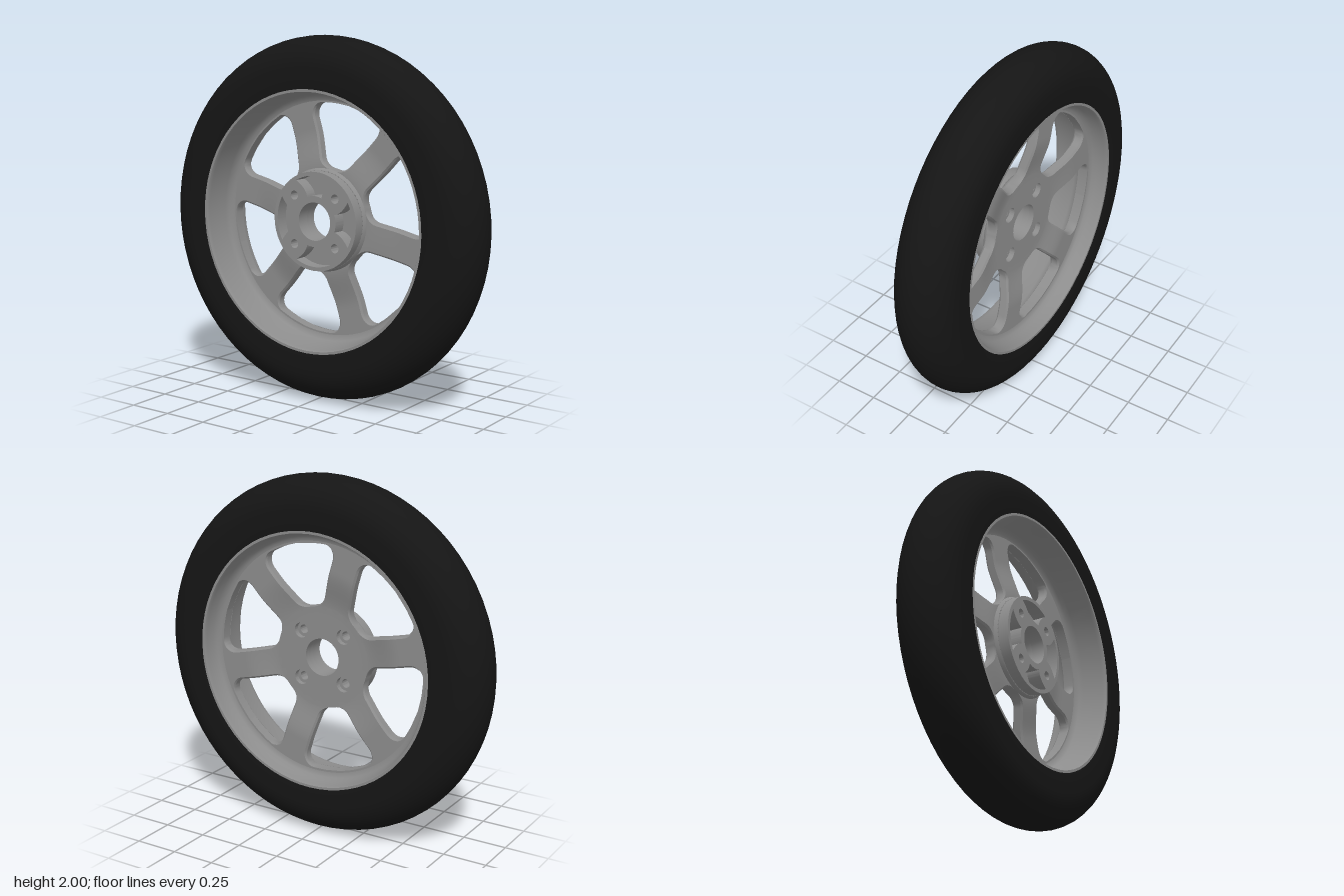
import * as THREE from 'three';
import { toCreasedNormals } from 'three/addons/utils/BufferGeometryUtils.js';

const DEG = Math.PI / 180;
const SPOKES = 6, HALF = 30 * DEG;
const WIN_IN = 0.285, WIN_OUT = 0.64, SPOKE_HALF = 0.083;

const metal = new THREE.MeshStandardMaterial({ color: 0x8c8c8c });
const rubber = new THREE.MeshStandardMaterial({ color: 0x151515 });

function addMesh(parent, name, geometry, material) {
  const mesh = new THREE.Mesh(geometry, material);
  mesh.name = name;
  parent.add(mesh);
  return mesh;
}

// Ring turned about the local z axis from [radius, z] points
function turned(points, segments) {
  return new THREE.LatheGeometry(points.map(([r, z]) => new THREE.Vector2(r, z)), segments).rotateX(Math.PI / 2);
}

// Half angle of a window at radius r, with rounded corners
function windowHalfAngle(r) {
  const loss = (d, c) => (d >= c ? 0 : c - Math.sqrt(Math.max(0, c * c - (c - d) ** 2)));
  const cut = loss(r - WIN_IN, 0.055) + loss(WIN_OUT - r, 0.085);
  return Math.max(0, HALF - Math.asin(SPOKE_HALF / r) - cut / r);
}

// Dished front and back faces of the spokes
const dish = (r) => 0.035 * THREE.MathUtils.smoothstep(r, 0.27, 0.5);
const frontZ = (r) => 0.04 + dish(r);
const backZ = (r) => -0.02 + dish(r);

// One sixth of the wheel disc: a spoke lofted along the radius
function spokeGeometry() {
  const rows = [[0.25, HALF], [WIN_IN, HALF]];
  const steps = 40;
  const hIn = windowHalfAngle(WIN_IN), hOut = windowHalfAngle(WIN_OUT);
  for (let k = 1; k <= 4; k++) rows.push([WIN_IN, HALF - hIn * k / 4]);
  for (let k = 1; k < steps; k++) {
    const t = (1 - Math.cos(Math.PI * k / steps)) / 2;
    const r = WIN_IN + (WIN_OUT - WIN_IN) * t;
    rows.push([r, HALF - windowHalfAngle(r)]);
  }
  for (let k = 4; k >= 0; k--) rows.push([WIN_OUT, HALF - hOut * k / 4]);
  rows.push([0.69, HALF]);

  const n = 8, pos = [], index = [];
  let count = 0;
  for (const [r, w] of rows) {
    const ch = w === HALF ? 0 : 0.01;
    const inner = w - ch / r, f = frontZ(r), b = backZ(r);
    const loop = [];
    for (let j = 0; j <= n; j++) loop.push([inner * (2 * j / n - 1), f]);
    loop.push([w, f - ch], [w, b + ch]);
    for (let j = n; j >= 0; j--) loop.push([inner * (2 * j / n - 1), b]);
    loop.push([-w, b + ch], [-w, f - ch]);
    count = loop.length;
    for (const [a, z] of loop) pos.push(r * Math.cos(a), r * Math.sin(a), z);
  }
  for (let i = 0; i < rows.length - 1; i++) {
    for (let j = 0; j < count; j++) {
      const a = i * count + j, d = i * count + (j + 1) % count;
      index.push(a, a + count, d + count, a, d + count, d);
    }
  }
  const g = new THREE.BufferGeometry();
  g.setAttribute('position', new THREE.Float32BufferAttribute(pos, 3));
  g.setIndex(index);
  return toCreasedNormals(g, 35 * DEG);
}

function circleHole(x, y, r) {
  return new THREE.Path().absarc(x, y, r, 0, Math.PI * 2, true);
}

// Hub layer between two depths, with bore, bolt holes and optional pockets
function hubLayer(z0, z1, boltRadius, pockets) {
  const shape = new THREE.Shape().absarc(0, 0, 0.272, 0, Math.PI * 2, false);
  shape.holes.push(circleHole(0, 0, 0.105));
  for (let k = 0; k < 4; k++) {
    const a = (45 + 90 * k) * DEG;
    shape.holes.push(circleHole(0.19 * Math.cos(a), 0.19 * Math.sin(a), boltRadius));
    if (pockets) {
      const c = 90 * k * DEG, p = new THREE.Path();
      p.absarc(0, 0, 0.25, c - 29 * DEG, c + 29 * DEG, false);
      p.quadraticCurveTo(0.185 * Math.cos(c + 17 * DEG), 0.185 * Math.sin(c + 17 * DEG),
        0.14 * Math.cos(c + 20 * DEG), 0.14 * Math.sin(c + 20 * DEG));
      p.absarc(0, 0, 0.14, c + 20 * DEG, c - 20 * DEG, true);
      p.quadraticCurveTo(0.185 * Math.cos(c - 17 * DEG), 0.185 * Math.sin(c - 17 * DEG),
        0.25 * Math.cos(c - 29 * DEG), 0.25 * Math.sin(c - 29 * DEG));
      shape.holes.push(p);
    }
  }
  const g = new THREE.ExtrudeGeometry(shape, { depth: z1 - z0, bevelEnabled: false, curveSegments: 24 });
  return toCreasedNormals(g.translate(0, 0, z0), 35 * DEG);
}

export function createModel() {
  const model = new THREE.Group();
  model.name = 'wheel';
  // Axle along x, standing on the ground
  const wheel = new THREE.Group();
  wheel.name = 'wheelAssembly';
  wheel.rotation.y = Math.PI / 2;
  wheel.position.y = 1;
  model.add(wheel);

  // Tyre: straight sidewalls and a round crown
  const tyre = [[0.712, -0.168], [0.722, -0.174], [0.77, -0.175]];
  for (let k = 0; k <= 20; k++) {
    const a = (-90 + 9 * k) * DEG;
    tyre.push([0.825 + 0.175 * Math.cos(a), 0.175 * Math.sin(a)]);
  }
  tyre.push([0.77, 0.175], [0.722, 0.174], [0.712, 0.168]);
  addMesh(wheel, 'tyre', turned(tyre, 72), rubber);

  // Rim barrel: lips, sloping walls and fillets into the disc
  const rim = [
    [0.718, -0.172], [0.718, 0.172], [0.704, 0.172], [0.7, 0.165], [0.699, 0.15],
    [0.687, 0.11], [0.676, 0.088], [0.66, 0.077], [0.645, 0.074],
    [0.645, 0.016], [0.662, 0.011], [0.678, -0.004], [0.686, -0.03],
    [0.699, -0.15], [0.7, -0.165], [0.704, -0.172], [0.718, -0.172],
  ];
  addMesh(wheel, 'rim', toCreasedNormals(turned(rim, 72), 35 * DEG), metal);

  // Spokes
  const spokes = new THREE.Group();
  spokes.name = 'spokes';
  wheel.add(spokes);
  const spoke = spokeGeometry();
  for (let k = 0; k < SPOKES; k++) {
    addMesh(spokes, 'spoke', spoke, metal).rotation.z = (13 + 60 * k) * DEG;
  }

  // Hub: counterbored face, solid web and pocketed back
  const hub = new THREE.Group();
  hub.name = 'hub';
  wheel.add(hub);
  addMesh(hub, 'hubFace', hubLayer(0.01, 0.04, 0.042, false), metal);
  addMesh(hub, 'hubWeb', hubLayer(-0.025, 0.01, 0.025, false), metal);
  addMesh(hub, 'hubBack', hubLayer(-0.1, -0.025, 0.025, true), metal);

  // Fillet where the hub meets the spokes at the back
  const fillet = [[0.268, -0.01], [0.268, -0.05], [0.274, -0.036], [0.285, -0.024], [0.285, -0.01]];
  addMesh(hub, 'hubFillet', turned(fillet, 72), metal);
  return model;
}
